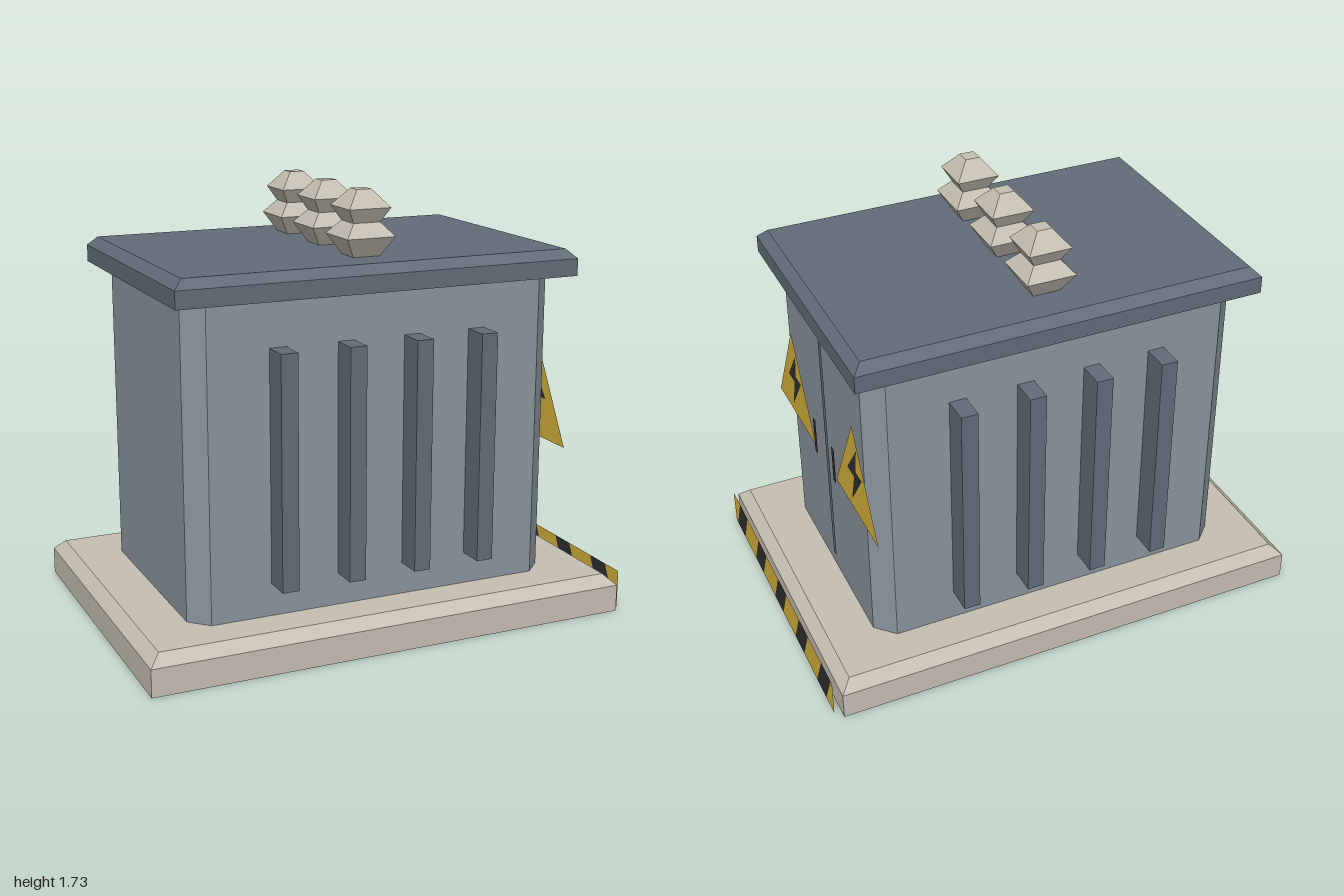
import * as THREE from 'three';

const make = (name, color, side = THREE.FrontSide) =>
  Object.assign(new THREE.MeshStandardMaterial({ color, side }), { name });

// Stack of rectangular rings [halfX, halfZ, y, cornerCut], flat shaded, with optional caps
function loft(rings, capBottom, capTop) {
  const loops = rings.map(([x, z, y, c = 0]) => (c
    ? [[x, z - c], [x, c - z], [x - c, -z], [c - x, -z], [-x, c - z], [-x, z - c], [c - x, z], [x - c, z]]
    : [[x, z], [x, -z], [-x, -z], [-x, z]]).map(p => [p[0], y, p[1]]));
  const n = loops[0].length;
  const out = [];
  for (let k = 0; k < loops.length - 1; k++) {
    const lo = loops[k], hi = loops[k + 1];
    for (let i = 0; i < n; i++) {
      const j = (i + 1) % n;
      out.push(lo[i], lo[j], hi[j], lo[i], hi[j], hi[i]);
    }
  }
  const bottom = loops[0], top = loops[loops.length - 1];
  for (let i = 1; i < n - 1; i++) {
    if (capTop) out.push(top[0], top[i], top[i + 1]);
    if (capBottom) out.push(bottom[0], bottom[i + 1], bottom[i]);
  }
  const g = new THREE.BufferGeometry();
  g.setAttribute('position', new THREE.Float32BufferAttribute(out.flat(), 3));
  g.computeVertexNormals();
  return g;
}

const toPoints = pts => pts.map(p => new THREE.Vector2(p[0], p[1]));

// Flat panel facing +x; points are [-z, y]
function panel(pts, hole) {
  const shape = new THREE.Shape(toPoints(pts));
  if (hole) shape.holes.push(new THREE.Path(toPoints(hole)));
  return new THREE.ShapeGeometry(shape).rotateY(Math.PI / 2);
}

const rect = (u0, u1, y0, y1) => [[u0, y0], [u1, y0], [u1, y1], [u0, y1]];

export function createModel() {
  const concrete = make('concrete', 0xc6bfb3, THREE.DoubleSide);
  const bodyGrey = make('bodyGrey', 0x8b969e);
  const slate = make('slate', 0x626d78, THREE.DoubleSide);
  const yellow = make('warningYellow', 0xd9b53c, THREE.DoubleSide);
  const black = make('black', 0x303030, THREE.DoubleSide);

  const model = new THREE.Group();
  model.name = 'transformerCabinet';
  const add = (name, geometry, material, x = 0, y = 0, z = 0) => {
    const m = new THREE.Mesh(geometry, material);
    m.name = name;
    m.position.set(x, y, z);
    model.add(m);
  };
  const cx = -0.014;

  // Open-bottomed plinth, chamfered body and overhanging roof
  add('plinth', loft([[0.986, 0.682, 0], [0.986, 0.682, 0.11], [0.942, 0.638, 0.152]], false, true), concrete, cx);
  add('body', loft([[0.76, 0.492, 0.152, 0.073], [0.76, 0.492, 1.38, 0.073]], false, false), bodyGrey, cx);
  add('roof', loft([[0.82, 0.555, 1.372], [0.82, 0.555, 1.44], [0.784, 0.519, 1.476]], true, true), slate, cx);

  // Cooling fins on front and back
  for (const side of [1, -1]) {
    for (let i = 0; i < 4; i++) {
      add('coolingFin', new THREE.BoxGeometry(0.067, 0.91, 0.142), slate,
        cx + (i - 1.5) * 0.274, 0.735, side * 0.531);
    }
  }

  // Square double-cone insulators
  const insulator = loft([[0.055, 0.055, 1.476], [0.1, 0.1, 1.552], [0.055, 0.055, 1.604],
    [0.086, 0.086, 1.66], [0.03, 0.03, 1.727]], false, true);
  for (const z of [-0.32, 0, 0.32]) add('insulator', insulator, concrete, cx, 0, z);

  // Door seam and handles on the +x side
  add('doorSeam', panel(rect(-0.016, 0.016, 0.215, 1.247)), slate, 0.752);
  for (const s of [-1, 1]) {
    add('doorHandle', panel(rect(s * 0.108 - 0.015, s * 0.108 + 0.015, 0.667, 0.83)), black, 0.764);
  }

  // Warning triangles with a bolt inlaid
  const triangle = [[-0.228, 0.688], [0.228, 0.688], [0, 1.094]];
  const bolt = [[0.034, 1], [-0.08, 0.853], [-0.007, 0.853], [-0.048, 0.72], [0.08, 0.89], [0.012, 0.89]];
  for (const z of [0.35, -0.35]) {
    add('warningTriangle', panel(triangle, bolt), yellow, 0.76, 0, z);
    add('warningBolt', panel(bolt), black, 0.76, 0, z);
  }

  // Slanted hazard stripes in front of the plinth
  const h = 0.154, skew = 0.075, end = 0.647;
  let low = -end, high = -end;
  for (let i = 0; i <= 5; i++) {
    const last = i === 5;
    const u = -0.626 + i * 0.268;
    const nextLow = last ? end : u, nextHigh = last ? end : u + skew;
    add('hazardYellow', panel([[low, 0], [nextLow, 0], [nextHigh, h], [high, h]]), yellow, 1);
    if (last) break;
    low = u + 0.11;
    high = low + skew;
    add('hazardBlack', panel([[u, 0], [low, 0], [high, h], [u + skew, h]]), black, 1);
  }
  return model;
}
